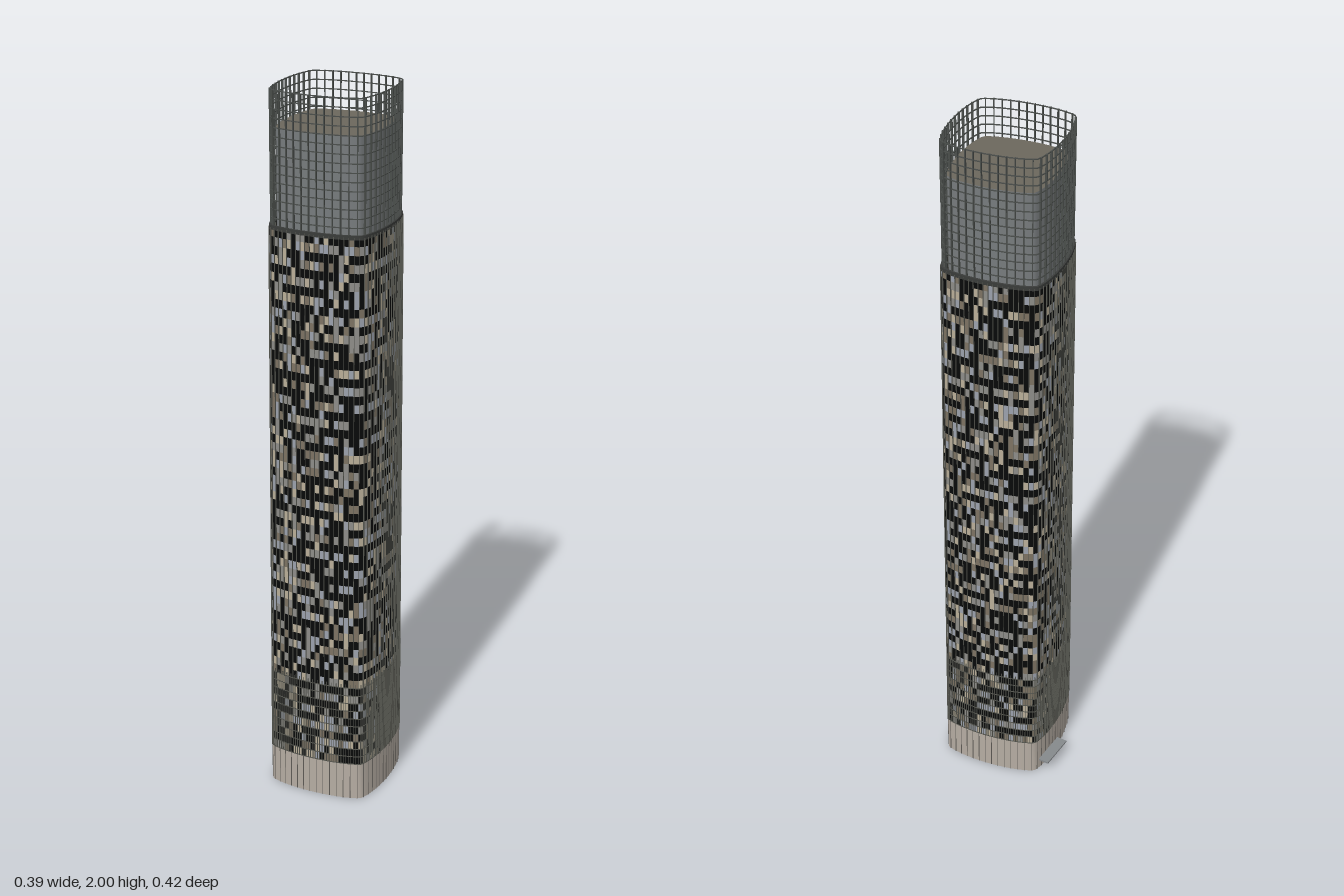
import * as THREE from 'three';
import { mergeGeometries } from 'three/addons/utils/BufferGeometryUtils.js';

// Unit footprint: a diamond with soft corners, walked at even spacing
const N = 1.29, CX = -0.002, CZ = 0.011;
const footprint = new THREE.CatmullRomCurve3(
  Array.from({ length: 96 }, (_, i) => {
    const t = (i / 96) * Math.PI * 2, c = Math.cos(t), s = Math.sin(t);
    return new THREE.Vector3(
      Math.sign(c) * Math.abs(c) ** (2 / N), 0, -Math.sign(s) * Math.abs(s) ** (2 / N));
  }), true);
footprint.arcLengthDivisions = 1200;
const at = (u, a, y) => {
  const p = footprint.getPointAt(((u % 1) + 1) % 1);
  return new THREE.Vector3(CX + p.x * a, y, CZ + p.z * a);
};

// Tower half-width tapers gently with height
const wall = (y) => 0.194 - 0.005 * y;
const BASE = 0.11, BODY = 1.64, CROWN = 0.181;

let seed = 7;
const rand = () => {
  seed = (seed * 16807) % 2147483647;
  return seed / 2147483647;
};

// Strip of wall between two heights and two positions on the footprint
function band(a0, y0, a1, y1, u0 = 0, u1 = 1, segs = 96) {
  const pos = [], idx = [];
  for (let i = 0; i <= segs; i++) {
    const u = u0 + ((u1 - u0) * i) / segs;
    pos.push(...at(u, a0, y0).toArray(), ...at(u, a1, y1).toArray());
    if (i < segs) {
      const k = i * 2;
      idx.push(k, k + 2, k + 1, k + 2, k + 3, k + 1);
    }
  }
  const g = new THREE.BufferGeometry();
  g.setAttribute('position', new THREE.Float32BufferAttribute(pos, 3));
  g.setIndex(idx);
  g.computeVertexNormals();
  return g;
}

// Thin upright bar standing on the footprint, following the taper
function bar(u, a0, y0, a1, y1, width, depth) {
  const p = at(u, a0, y0), q = at(u, a1, y1);
  const d = at(u + 0.003, a0, y0).sub(at(u - 0.003, a0, y0));
  const g = new THREE.BoxGeometry(width, y1 - y0, depth);
  g.rotateY(Math.atan2(-d.z, d.x));
  const v = g.attributes.position;
  for (let i = 0; i < v.count; i++) {
    const c = v.getY(i) < 0 ? p : q;
    v.setXYZ(i, v.getX(i) + c.x, c.y, v.getZ(i) + c.z);
  }
  return g.toNonIndexed();
}

function hoop(a, y, height, depth) {
  const o = a + depth, h = height / 2;
  return mergeGeometries([
    band(o, y - h, o, y + h), band(a, y - h, a, y + h),
    band(o, y + h, a, y + h), band(a, y - h, o, y - h),
  ]);
}

export function createModel() {
  const model = new THREE.Group();
  const add = (name, geometries, color) => {
    const mesh = new THREE.Mesh(mergeGeometries(geometries),
      new THREE.MeshStandardMaterial({ color, side: THREE.DoubleSide }));
    mesh.name = name;
    model.add(mesh);
  };

  // Stone base with vertical joints
  add('base', [band(wall(0), 0, wall(BASE), BASE)], 0xb5aca2);
  const joints = [];
  for (let i = 0; i < 56; i++) {
    joints.push(bar((i + 0.5) / 56, wall(0) + 0.0005, 0, wall(BASE) + 0.0005, BASE, 0.0015, 0.002));
  }
  add('baseJoints', joints, 0x6a6661);

  // Facade: rows of glass and stone panels, window rows alternating with spandrel rows
  const tones = [0x080909, 0xb9ae98, 0x8d8c88, 0x9ba1ac, 0x7c7262];
  const panels = tones.map(() => []);
  const rows = 64, cells = 80, step = (BODY - BASE) / rows;
  for (let r = 0; r < rows; r++) {
    const y0 = BASE + r * step, y1 = y0 + step;
    const glass = r % 2 ? 0.74 : 0.3;
    for (let c = 0; c < cells; c++) {
      const tone = rand() < glass ? 0 : 1 + Math.floor(rand() * 4);
      panels[tone].push(band(wall(y0), y0, wall(y1), y1, (c + 0.5) / cells, (c + 1.5) / cells, 1));
    }
  }
  const names = ['darkGlass', 'sandPanels', 'greyPanels', 'bluePanels', 'brownPanels'];
  panels.forEach((list, i) => add(names[i], list, tones[i]));

  // Slim fins up the facade, denser on the lowest floors
  const fins = [];
  for (let i = 0; i < cells; i++) {
    fins.push(bar((i + 0.5) / cells, wall(BASE), BASE, wall(BODY), BODY, 0.0014, 0.006));
    fins.push(bar((i + 1) / cells, wall(BASE), BASE, wall(0.36), 0.36, 0.0014, 0.006));
  }
  add('facadeFins', fins, 0x55564f);
  const bands = [];
  for (let y = BASE; y < 0.37; y += step) bands.push(hoop(wall(y), y, 0.002, 0.002));
  add('lowerBands', bands, 0x55564f);

  // Dark ledge where the facade meets the crown
  add('ledge', [hoop(CROWN, BODY, 0.012, 0.006)], 0x3a3c3a);

  // Plant core inside the crown, with its roof
  add('coreWalls', [band(0.165, 1.6, 0.165, 1.9)], 0x777b7d);
  const outline = new THREE.Shape(Array.from({ length: 96 }, (_, i) => {
    const p = at(i / 96, 0.165, 0);
    return new THREE.Vector2(p.x, -p.z);
  }));
  add('coreRoof', [new THREE.ShapeGeometry(outline).rotateX(-Math.PI / 2).translate(0, 1.9, 0)], 0x6c675d);

  // Open lattice crown
  const posts = [], hoops = [];
  for (let i = 0; i < 48; i++) {
    posts.push(bar((i + 0.5) / 48, CROWN, BODY, CROWN, 2, 0.0026, 0.006));
  }
  for (let i = 1; i <= 15; i++) hoops.push(hoop(CROWN - 0.002, BODY + i * 0.0239, 0.0026, 0.003));
  add('crownPosts', posts, 0x4a4e4b);
  add('crownHoops', hoops, 0x4a4e4b);

  // Entrance canopy on the rear right face
  const canopy = new THREE.Mesh(new THREE.BoxGeometry(0.109, 0.005, 0.031),
    new THREE.MeshStandardMaterial({ color: 0x85898c }));
  canopy.name = 'entranceCanopy';
  canopy.position.set(-0.068, 0.04, -0.165);
  canopy.rotation.y = 0.634;
  model.add(canopy);

  return model;
}
